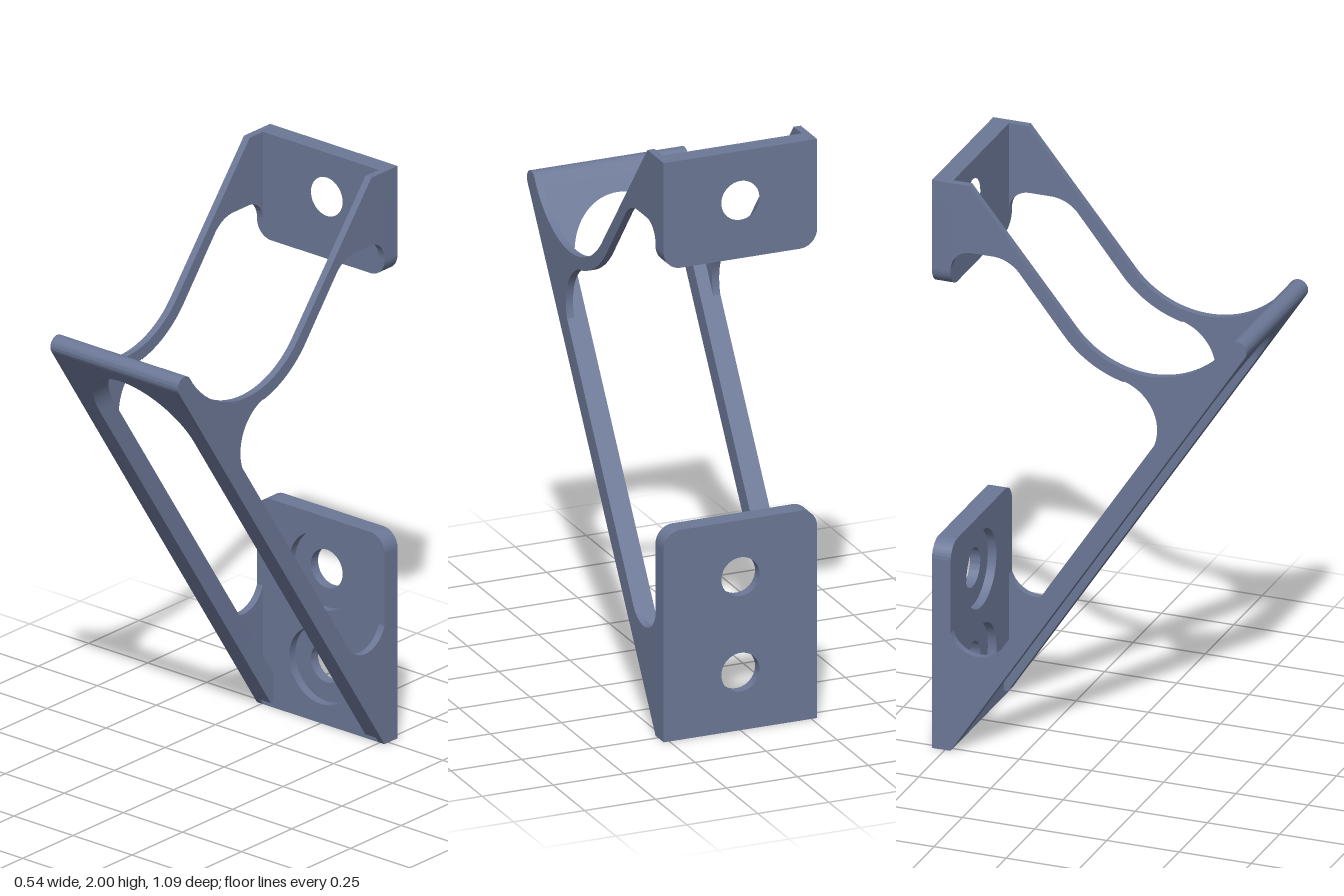
import * as THREE from 'three';
import { toCreasedNormals } from 'three/addons/utils/BufferGeometryUtils.js';

const HALF = 0.27;        // half width of the bracket
const WALL = 0.025;       // side wall thickness
const BACK = -0.545;      // rear mounting plane
const PLATE = 0.065;      // plate thickness
const SLOPE = 1.02 / 1.55; // z per y of the leaning panel
const FOOT = -0.48;       // z of the panel's front face at y = 0
const DEPTH = 0.078;      // panel thickness measured along z

export function createModel() {
  const group = new THREE.Group();
  const mat = new THREE.MeshStandardMaterial({ color: 0x6b7796 });
  mat.name = 'slate blue';

  const add = (name, geometry) => {
    const mesh = new THREE.Mesh(toCreasedNormals(geometry, 0.5), mat);
    mesh.name = name;
    group.add(mesh);
  };
  const extrude = (shape, depth) =>
    new THREE.ExtrudeGeometry(shape, { depth, bevelEnabled: false, curveSegments: 28 });
  // Extrude a (z, y) profile across x, from x1 down by width
  const across = (shape, x1, width) =>
    extrude(shape, width).rotateY(-Math.PI / 2).translate(x1, 0, 0);

  // Rounded lip along the panel's top edge
  const lean = Math.atan2(-SLOPE, 1); // direction of the panel's front normal
  const lipArc = (s) => s.absarc(0.513, 1.568, 0.0325, lean, lean + Math.PI, false);
  const lip = new THREE.Shape();
  lip.moveTo(0.462, 1.55);
  lip.lineTo(0.54, 1.55);
  lipArc(lip);
  lip.closePath();
  add('lip', across(lip, HALF, HALF * 2));

  // Thin side walls: curved upper arm, leaning strut and gussets
  const wall = new THREE.Shape();
  const arm = Math.atan2(-0.613, -0.79);
  wall.moveTo(FOOT, 0);
  wall.lineTo(0.54, 1.55);
  lipArc(wall);
  wall.absarc(0.205, 1.761, 0.331, -0.557, arm, true);
  wall.lineTo(-0.415, 2);
  wall.lineTo(FOOT, 2);
  wall.lineTo(FOOT, 1.695);
  wall.absarc(-0.41, 1.695, 0.07, Math.PI, Math.PI / 2, true);
  wall.absarc(-0.335, 1.645, 0.12, Math.PI / 2, 0.66, true);
  wall.absarc(0.205, 1.761, 0.375, arm, Math.atan2(-0.363, -0.085), false);
  wall.absarc(0.075, 1.245, 0.16, 1.29, lean, true);
  wall.absarc(-0.385, 0.445, 0.1, lean, -Math.PI, true);
  wall.closePath();
  add('leftWall', across(wall, HALF, WALL));
  add('rightWall', across(wall, -HALF + WALL, WALL));

  // Leaning panel: an arched slot cut straight through from the front, then sheared
  const panel = new THREE.Shape();
  panel.moveTo(-HALF, 0.02);
  panel.lineTo(-HALF, 1.55);
  panel.lineTo(HALF, 1.55);
  panel.lineTo(HALF, 0.02);
  panel.lineTo(0.2, 0.02);
  panel.absarc(0, 1.312, 0.2, 0, Math.PI, false);
  panel.lineTo(-0.2, 0.02);
  panel.closePath();
  const shear = new THREE.Matrix4().set(
    1, 0, 0, 0,
    0, 1, 0, 0,
    0, SLOPE, 1, FOOT - DEPTH,
    0, 0, 0, 1);
  add('frontPanel', extrude(panel, DEPTH).applyMatrix4(shear));

  // Mounting plates: square at one end, rounded corners at the other, counterbored holes
  const plate = (name, square, round, holes) => {
    const r = 0.06, d = Math.sign(round - square);
    const layer = (suffix, radius, z, depth) => {
      const s = new THREE.Shape();
      s.moveTo(-HALF, square);
      s.lineTo(HALF, square);
      s.absarc(HALF - r, round - d * r, r, 0, d * Math.PI / 2, d < 0);
      s.absarc(-HALF + r, round - d * r, r, d * Math.PI / 2, d * Math.PI, d < 0);
      s.closePath();
      for (const y of holes) s.holes.push(new THREE.Path().absarc(0, y, radius, 0, Math.PI * 2, true));
      add(name + suffix, extrude(s, depth).translate(0, 0, z));
    };
    const step = 0.035;
    layer('Back', 0.067, BACK, step);
    layer('Front', 0.133, BACK + step, PLATE - step);
  };
  plate('upperPlate', 2, 1.63, [1.83]);
  plate('lowerPlate', 0, 0.725, [0.2, 0.53]);

  return group;
}
